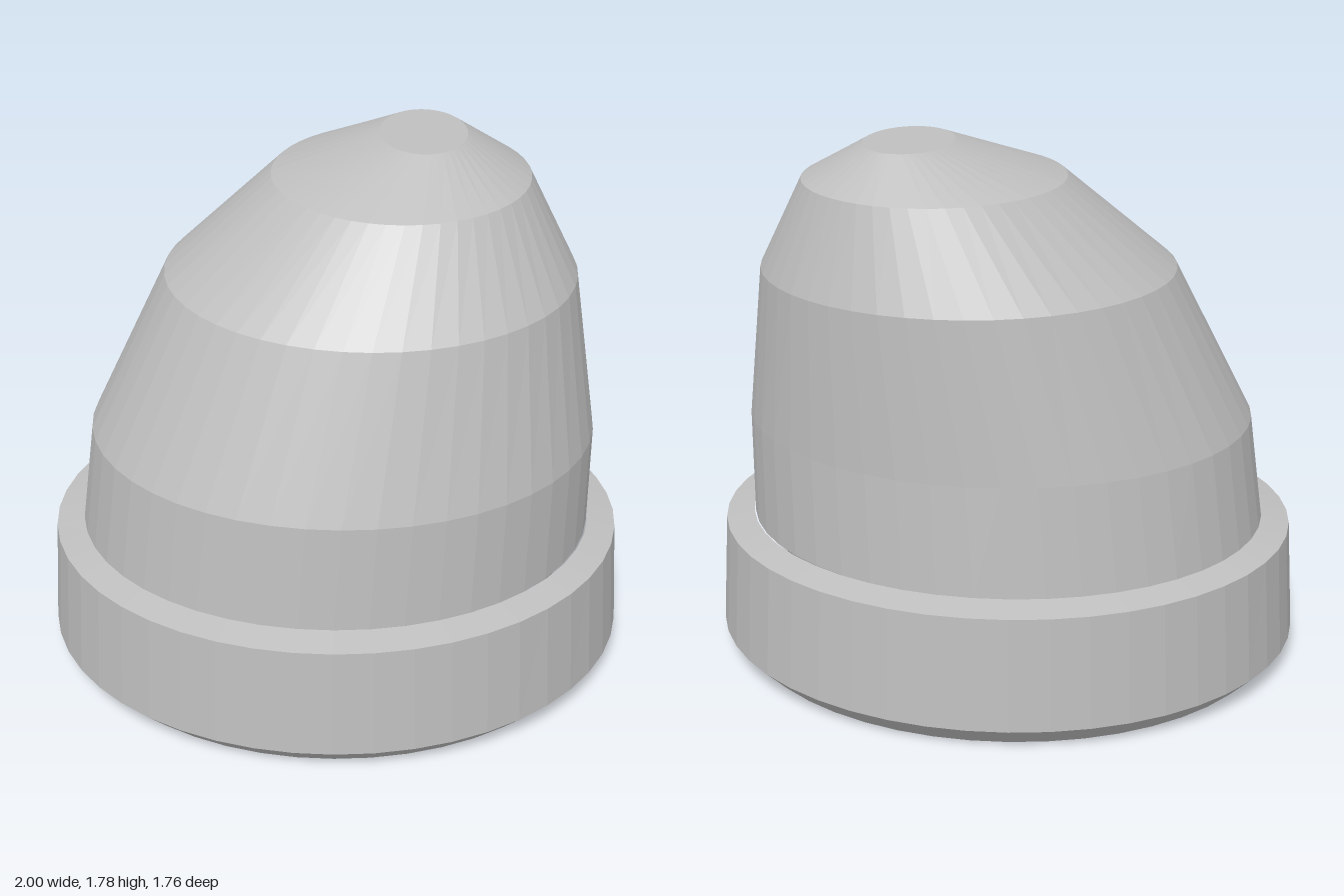
import * as THREE from 'three';

const SEGMENTS = 48;

// Ring given by its extents: [y, left x, right x, back z, front z]
const brimRings = [
  [0, -0.77, 0.77, -0.66, 0.66],
  [0, -0.925, 0.925, -0.81, 0.81],
  [0.075, -1, 1, -0.88, 0.88],
  [0.455, -0.975, 0.975, -0.86, 0.86],
  [0.475, -0.88, 0.88, -0.76, 0.76],
];

const crownRings = [
  [0.475, -0.88, 0.875, -0.76, 0.76],
  [0.835, -0.83, 0.875, -0.735, 0.74],
  [1.36, -0.57, 0.8, -0.715, 0.57],
  [1.665, -0.215, 0.64, -0.595, 0.31],
  [1.785, 0.14, 0.43, -0.405, 0.02],
];

// Inner wall follows the crown at an even thickness
const inset = ([y, l, r, b, f], t, drop) => [y - drop, l + t, r - t, b + t, f - t];

// Collapses a ring to its centre, to close an end
const centre = ([y, l, r, b, f]) => [y, (l + r) / 2, (l + r) / 2, (b + f) / 2, (b + f) / 2];

// Skins a stack of elliptical rings with flat facets
function loft(rings) {
  const positions = [];
  const index = [];
  const row = SEGMENTS + 1;
  rings.forEach(([y, l, r, b, f], i) => {
    for (let j = 0; j <= SEGMENTS; j++) {
      const a = ((j % SEGMENTS) / SEGMENTS) * Math.PI * 2;
      positions.push((l + r) / 2 + ((r - l) / 2) * Math.cos(a), y, (b + f) / 2 + ((f - b) / 2) * Math.sin(a));
      if (i > 0 && j < SEGMENTS) {
        const p = (i - 1) * row + j;
        const q = p + row;
        index.push(p, q, p + 1, p + 1, q, q + 1);
      }
    }
  });
  const indexed = new THREE.BufferGeometry();
  indexed.setAttribute('position', new THREE.Float32BufferAttribute(positions, 3));
  indexed.setIndex(index);
  const geometry = indexed.toNonIndexed();
  geometry.computeVertexNormals();
  return geometry;
}

export function createModel() {
  const group = new THREE.Group();
  group.name = 'knitCap';
  const grey = new THREE.MeshStandardMaterial({ color: 0xbfbfbf });
  grey.name = 'grey';

  const add = (name, rings) => {
    const mesh = new THREE.Mesh(loft(rings), grey);
    mesh.name = name;
    group.add(mesh);
  };

  // Folded brim with its bottom rim
  add('brim', brimRings);

  // Leaning crown, closed by a flat top
  add('crown', [...crownRings, centre(crownRings[4])]);

  // Hollow inside, from the closed top down to the rim
  const inner = crownRings.slice(0, 4).map((ring) => inset(ring, 0.1, 0));
  inner.push(inset(crownRings[4], 0.06, 0.08));
  inner.reverse();
  add('lining', [centre(inner[0]), ...inner, brimRings[0]]);

  return group;
}
